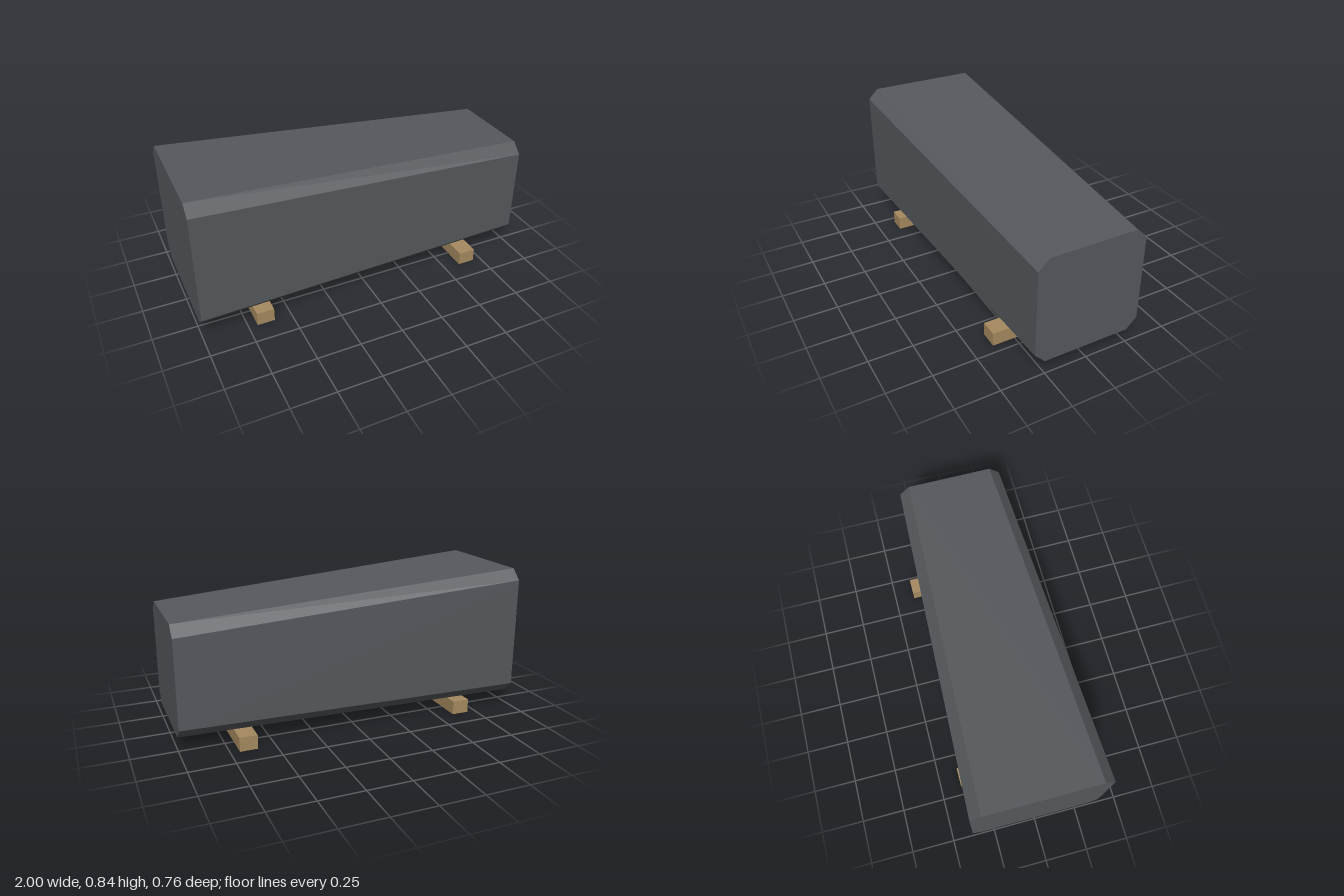
import * as THREE from 'three';
import { ConvexGeometry } from 'three/addons/geometries/ConvexGeometry.js';

const BASE = 0.08;
const CHAMFER = 0.06;

// Chamfered rectangular cross-section at a given x
function section(x, halfWidth, top) {
  const points = [];
  for (const side of [-1, 1]) {
    points.push(
      new THREE.Vector3(x, BASE, side * (halfWidth - CHAMFER)),
      new THREE.Vector3(x, BASE + CHAMFER, side * halfWidth),
      new THREE.Vector3(x, top - CHAMFER, side * halfWidth),
      new THREE.Vector3(x, top, side * (halfWidth - CHAMFER))
    );
  }
  return points;
}

// Box without its underside
function openBottomBox(w, h, d) {
  const geometry = new THREE.BoxGeometry(w, h, d);
  const index = Array.from(geometry.index.array);
  index.splice(18, 6);
  geometry.setIndex(index);
  geometry.clearGroups();
  return geometry;
}

export function createModel() {
  const slate = new THREE.MeshStandardMaterial({ color: 0x55595d, flatShading: true });
  slate.name = 'slate grey';
  const wood = new THREE.MeshStandardMaterial({ color: 0xa68a60, side: THREE.DoubleSide });
  wood.name = 'light wood';

  const model = new THREE.Group();
  model.name = 'taperedBlockOnBearers';

  // Tapered block, tall and wide at -x, lower and narrower at +x
  const body = new THREE.Mesh(
    new ConvexGeometry([...section(-1, 0.38, 0.84), ...section(1, 0.31, 0.7)]),
    slate
  );
  body.name = 'body';
  model.add(body);

  // Two cross bearers under the block
  const bearerGeometry = openBottomBox(0.1, BASE, 0.76);
  for (const [name, x] of [['rightBearer', -0.65], ['leftBearer', 0.65]]) {
    const bearer = new THREE.Mesh(bearerGeometry, wood);
    bearer.name = name;
    bearer.position.set(x, BASE / 2, 0);
    model.add(bearer);
  }
  return model;
}
